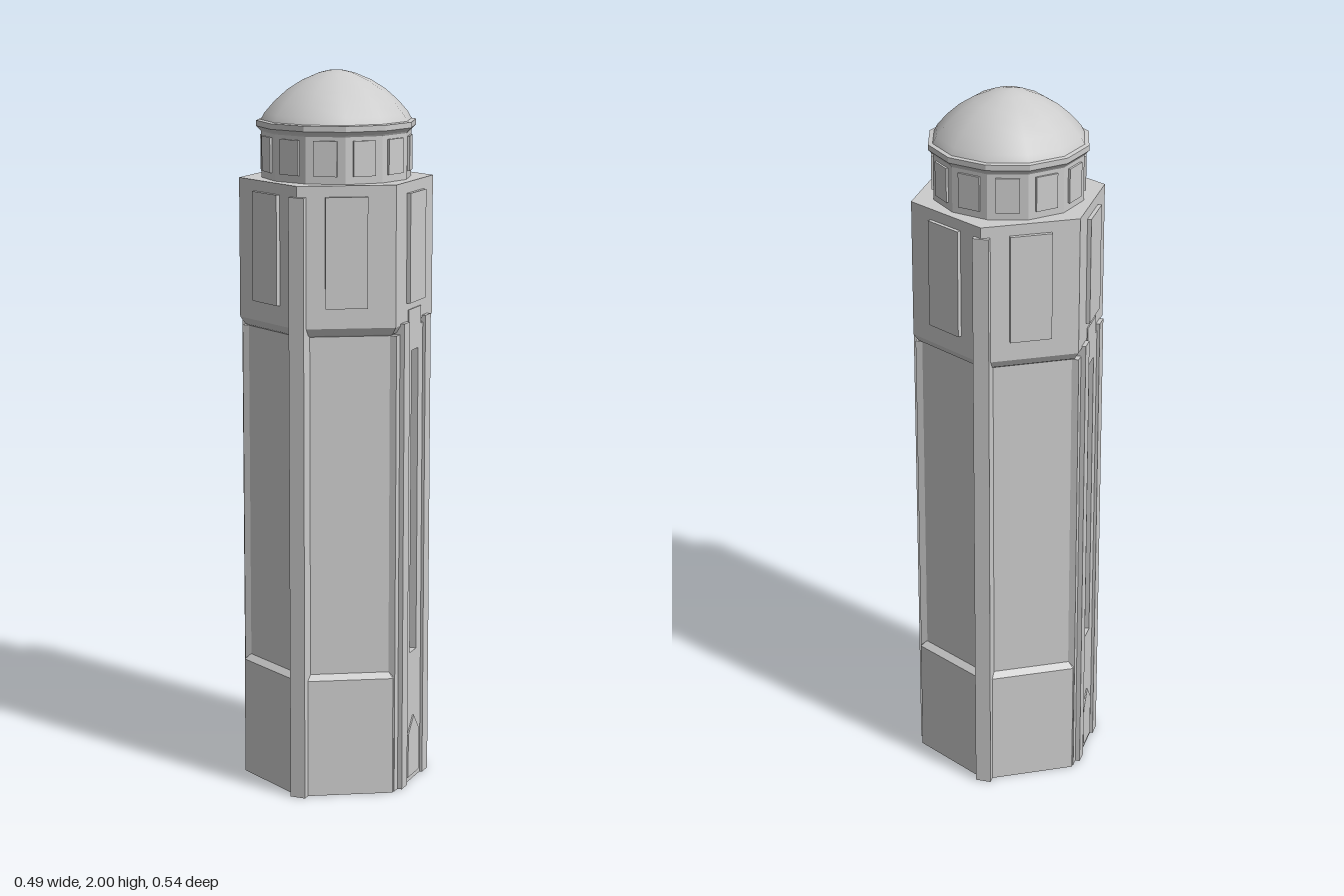
import * as THREE from 'three';

export function createModel() {
  const tower = new THREE.Group();
  tower.name = 'tower';
  const stone = new THREE.MeshStandardMaterial({ color: 0xcccccc });
  stone.name = 'pale stone';

  const add = (name, geometry, parent = tower) => {
    const mesh = new THREE.Mesh(geometry, stone);
    mesh.name = name;
    parent.add(mesh);
    return mesh;
  };
  // Many-sided solid turned from [radius, height] points, bottom to top
  const turned = (points, sides, smooth) => {
    const g = new THREE.LatheGeometry(points.map(p => new THREE.Vector2(...p)), sides);
    if (smooth) return g;
    const flat = g.toNonIndexed();
    flat.computeVertexNormals();
    return flat;
  };
  // Box given by its width, bottom, top, and near and far depth
  const block = (w, y0, y1, z0, z1, x = 0) =>
    new THREE.BoxGeometry(w, y1 - y0, z1 - z0).translate(x, (y0 + y1) / 2, (z0 + z1) / 2);
  const polygon = pts => new THREE.Shape(pts.map(p => new THREE.Vector2(...p)));
  const plate = (shape, z0, z1) =>
    new THREE.ExtrudeGeometry(shape, { depth: z1 - z0, bevelEnabled: false }).translate(0, 0, z0);

  // Hexagonal body: base, shaft and wider head
  const k = 1 / Math.cos(Math.PI / 6);
  const hex = [[0, 0], [0.228, 0], [0.228, 0.335], [0.212, 0.35], [0.212, 1.3],
    [0.22, 1.305], [0.232, 1.325], [0.232, 1.71], [0, 1.71]];
  add('body', turned(hex.map(([r, y]) => [r * k, y]), 6));

  // Raised panels around the head
  for (let i = 0; i < 6; i++) {
    add('headPanel', block(0.114, 1.38, 1.68, 0.225, 0.243)).rotation.y = Math.PI / 6 + i * Math.PI / 3;
  }

  // Slim piers on the front and back corners
  for (const a of [0, Math.PI]) {
    add('cornerPier', block(0.044, 0, 1.68, 0.2, 0.272)).rotation.y = a;
  }

  // Stepped bays on the left and right faces
  for (const a of [Math.PI / 2, -Math.PI / 2]) {
    const bay = new THREE.Group();
    bay.name = 'sideBay';
    bay.rotation.y = a;
    tower.add(bay);

    const panel = polygon([[-0.06, 0], [0.06, 0], [0.06, 1.31], [0.045, 1.31],
      [0.045, 1.36], [-0.045, 1.36], [-0.045, 1.31], [-0.06, 1.31]]);
    panel.holes.push(new THREE.Path([[-0.024, 0.38], [-0.024, 1.245], [0.024, 1.245], [0.024, 0.38]]
      .map(p => new THREE.Vector2(...p))));
    add('slottedPanel', plate(panel, 0.2, 0.235), bay);
    for (const s of [-1, 1]) {
      add('bayPier', block(0.04, 0, 1.33, 0.2, 0.243, s * 0.078), bay);
      add('bayEdge', block(0.026, 0, 1.3, 0.2, 0.23, s * 0.11), bay);
    }
    add('door', plate(polygon([[-0.04, 0.015], [0.04, 0.015], [0.04, 0.14], [0, 0.19], [-0.04, 0.14]]),
      0.23, 0.239), bay);
  }

  // Twelve-sided drum with its panels
  add('drum', turned([[0.207, 1.7], [0.207, 1.85]], 12));
  for (let i = 0; i < 12; i++) {
    add('drumPanel', block(0.064, 1.73, 1.825, 0.195, 0.206)).rotation.y = (i + 0.5) * Math.PI / 6;
  }

  // Cornice and domed roof
  add('cornice', turned([[0.2, 1.825], [0.21, 1.84], [0.22, 1.85], [0.22, 1.865], [0.2, 1.868]], 12));
  add('dome', turned([[0.208, 1.866], [0.198, 1.885], [0.17, 1.917], [0.135, 1.948],
    [0.095, 1.973], [0.05, 1.992], [0.02, 1.999], [0, 2]], 12, true));

  return tower;
}
